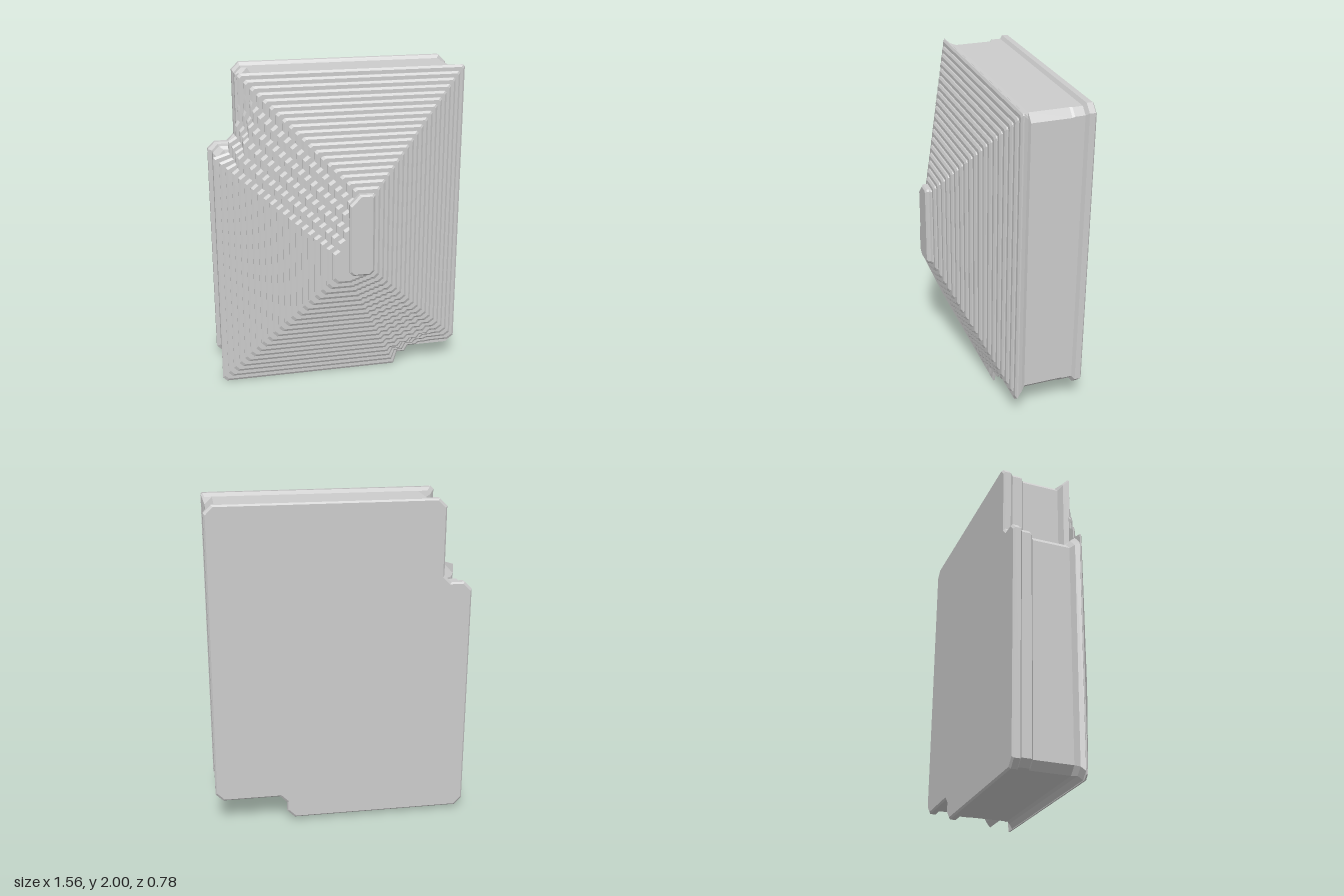
import * as THREE from 'three';

const lerp = THREE.MathUtils.lerp;

// Cut every corner of a polygon by the distance c (one value, or one per corner)
function chamfer(corners, c) {
  const out = [], n = corners.length;
  corners.forEach((p, i) => {
    const d = Array.isArray(c) ? c[i] : c;
    for (const q of [corners[(i + n - 1) % n], corners[(i + 1) % n]]) {
      const len = Math.hypot(q[0] - p[0], q[1] - p[1]);
      const k = Math.min(d, len * 0.45) / len;
      out.push([lerp(p[0], q[0], k), lerp(p[1], q[1], k)]);
    }
  });
  return out;
}

// Rectangle with a notch at the upper left (ux, uy) and the lower right (lx, ly)
const plan = (l, r, b, t, ux, uy, lx, ly, c) => chamfer(
  [[l, b], [lx, b], [lx, ly], [r, ly], [r, t], [ux, t], [ux, uy], [l, uy]], c);

// Skin a stack of [outline, z] rings and close both ends
function loft(name, rings) {
  const pos = [];
  const put = (ring, j) => {
    const p = ring[0][j % ring[0].length];
    pos.push(p[0], p[1], ring[1]);
  };
  for (let i = 0; i < rings.length - 1; i++) {
    const a = rings[i], b = rings[i + 1];
    for (let j = 0; j < a[0].length; j++) {
      put(a, j); put(a, j + 1); put(b, j + 1);
      put(a, j); put(b, j + 1); put(b, j);
    }
  }
  const cap = (ring, front) => {
    const pts = ring[0].map(p => new THREE.Vector2(p[0], p[1]));
    for (const f of THREE.ShapeUtils.triangulateShape(pts, [])) {
      (front ? f : [f[0], f[2], f[1]]).forEach(j => put(ring, j));
    }
  };
  cap(rings[0], false);
  cap(rings[rings.length - 1], true);
  const geo = new THREE.BufferGeometry();
  geo.setAttribute('position', new THREE.Float32BufferAttribute(pos, 3));
  geo.computeVertexNormals();
  const mesh = new THREE.Mesh(geo, new THREE.MeshStandardMaterial({ color: 0xcccccc, flatShading: true }));
  mesh.name = name;
  return mesh;
}

// Outline of the stepped roof; t runs from the eave (0) to the ridge (1)
function roofOutline(t) {
  const L = lerp(-0.78, -0.12, t), R = lerp(0.78, 0.14, t);
  const B = lerp(0, 0.76, t), T = lerp(2, 1.32, t);
  const upX = lerp(-0.62, 0.04, t), upY = lerp(1.42, 0.9, t);
  const lowX = lerp(0.3, -0.02, t), lowY = lerp(0.14, 0.8, t);
  const n = 6, power = lerp(4, 1, Math.min(1, t * 6)), c = 0.025;
  const pts = [[L, B + c], [L + c, B]];
  // zigzag along the lower right valley
  for (let k = 0; k < n; k++) {
    const y = lerp(B, lowY, 1 - Math.pow(1 - k / (n - 1), power));
    for (const e of [0.15, 0.85]) pts.push([lerp(lowX, R - c, (k + e) / n), y]);
  }
  pts.push([R, lowY + c], [R, T - 0.01], [R - 0.01, T], [upX + 0.015, T]);
  // zigzag along the upper left valley
  for (let k = 0; k < n; k++) {
    const x = lerp(upX, L, Math.pow(k / (n - 1), power));
    for (const e of [0.15, 0.85]) pts.push([x, lerp(T, upY, (k + e) / n)]);
  }
  return pts;
}

export function createModel() {
  const model = new THREE.Group();
  model.name = 'steppedRoofBuilding';

  // Recessed walls with a base plate, a low plinth and a flared eave
  const base = plan(-0.78, 0.78, 0.02, 2, -0.61, 1.5, 0.34, 0.17, 0.045);
  const baseBack = plan(-0.77, 0.77, 0.03, 1.99, -0.6, 1.49, 0.33, 0.18, 0.045);
  const plinth = plan(-0.755, 0.76, 0.04, 1.98, -0.6, 1.49, 0.32, 0.19, 0.04);
  const wall = plan(-0.73, 0.76, 0.04, 1.98, -0.57, 1.47, 0.32, 0.19, 0.045);
  const eaveCuts = [0.04, 0.05, 0.02, 0.05, 0.01, 0.02, 0.02, 0.07];
  const eaveLow = plan(-0.765, 0.77, 0.03, 1.975, -0.61, 1.5, 0.34, 0.15, eaveCuts);
  const eave = plan(-0.78, 0.78, 0, 2, -0.635, 1.52, 0.36, 0.12, eaveCuts);
  model.add(loft('walls', [
    [baseBack, -0.39], [base, -0.38], [base, -0.345], [plinth, -0.33], [plinth, -0.27],
    [wall, -0.255], [wall, -0.02], [eaveLow, 0], [eave, 0.03],
  ]));

  // Roof: thin courses, each with a bevelled upper edge
  const count = 20, z0 = 0.025, z1 = 0.368, dz = (z1 - z0) / count;
  const rings = [];
  for (let i = 0; i < count; i++) {
    const t = i / (count - 1), z = z0 + i * dz;
    const edge = roofOutline(t);
    rings.push([edge, z], [edge, z + dz * 0.5], [roofOutline(t + 0.4 / count), z + dz]);
  }
  model.add(loft('steppedRoof', rings));

  // Ridge cap
  const ridge = inset => chamfer([
    [-0.02 + inset, 0.81 + inset], [0.13 - inset, 0.81 + inset],
    [0.13 - inset, 1.32 - inset], [-0.02 + inset, 1.32 - inset],
  ], [0.02, 0.02, 0.01, 0.06]);
  model.add(loft('ridgeCap', [[ridge(0), 0.35], [ridge(0), 0.38], [ridge(0.01), 0.39]]));

  return model;
}
